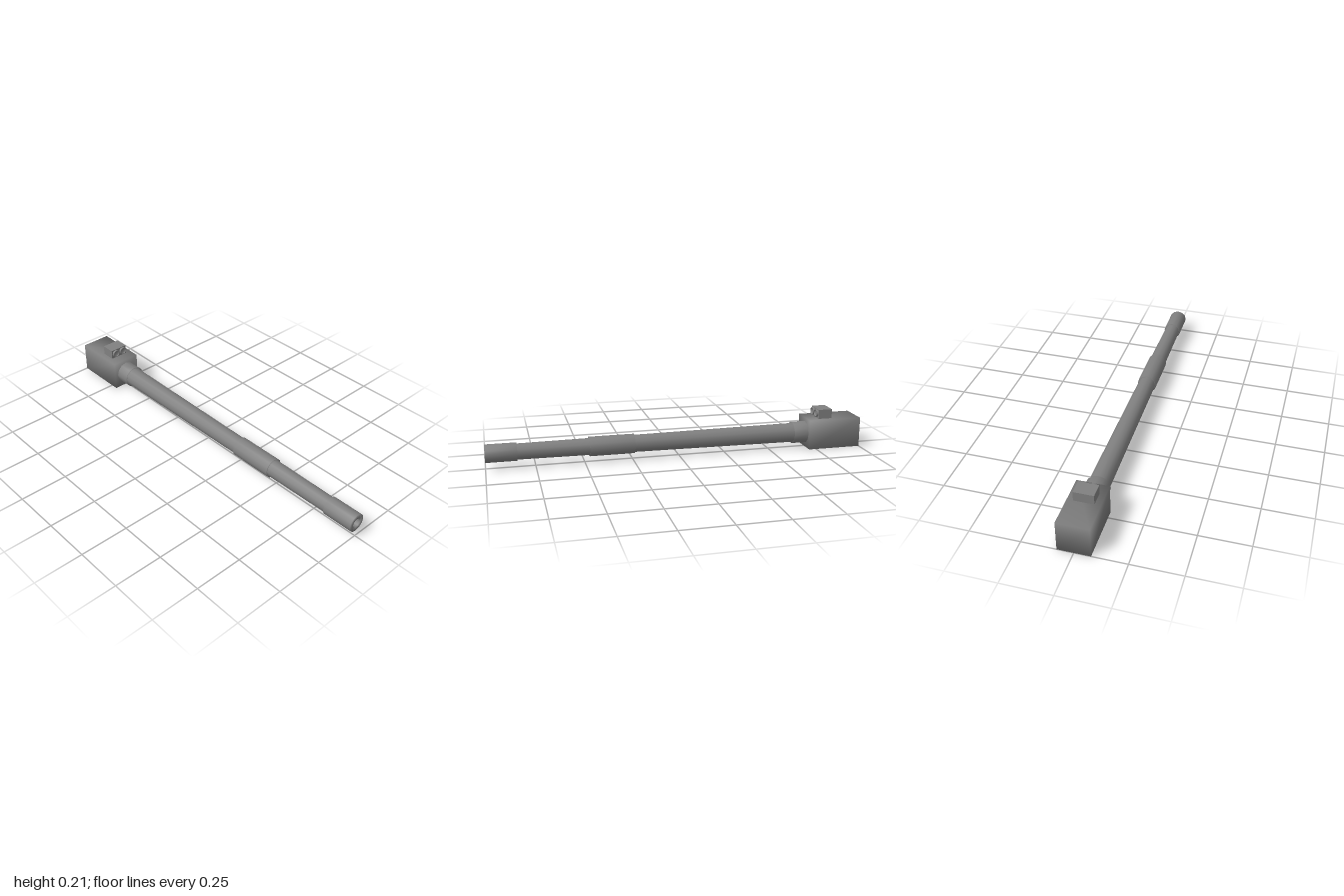
import * as THREE from 'three';
import { mergeVertices } from 'three/addons/utils/BufferGeometryUtils.js';

const AXIS_Y = 0.08;
const SIDES = 12;

export function createModel() {
  const group = new THREE.Group();
  const gunmetal = new THREE.MeshStandardMaterial({ color: 0x808080 });
  gunmetal.name = 'gunmetal grey';

  const add = (name, geometry, x = 0, y = 0, z = 0) => {
    const mesh = new THREE.Mesh(geometry, gunmetal);
    mesh.name = name;
    mesh.position.set(x, y, z);
    group.add(mesh);
  };

  // Turned part along x; profile holds [x, radius] pairs
  const turned = (name, profile, y = AXIS_Y, z = 0, sides = SIDES) => {
    const points = profile.map(([x, r]) => new THREE.Vector2(r, x));
    const geometry = new THREE.LatheGeometry(points, sides);
    geometry.rotateZ(-Math.PI / 2);
    add(name, geometry, 0, y, z);
  };

  // Breech block, with normals shared across its corners
  let block = new THREE.BoxGeometry(0.29, 0.16, 0.16);
  block.deleteAttribute('normal');
  block.deleteAttribute('uv');
  block = mergeVertices(block);
  block.computeVertexNormals();
  add('breech', block, -0.855, AXIS_Y, 0);

  // Collar and barrel sections
  turned('collar', [[-0.72, 0.06], [-0.635, 0.06], [-0.635, 0.04]]);
  turned('rearBarrel', [[-0.64, 0.053], [0.25, 0.046]]);
  turned('sleeve', [[0.24, 0.04], [0.24, 0.052], [0.475, 0.052], [0.475, 0.038]]);
  turned('frontBarrel', [[0.47, 0.045], [0.85, 0.042]]);

  // Muzzle with a blind bore
  turned('muzzle', [
    [0.84, 0.038], [0.84, 0.048], [1, 0.048], [1, 0.024], [0.9, 0.024], [0.9, 0],
  ]);

  // Sight housing with twin recessed lenses
  add('sightHousing', new THREE.BoxGeometry(0.075, 0.05, 0.1), -0.8075, 0.185, 0);
  for (const side of [1, -1]) {
    turned(side > 0 ? 'leftLens' : 'rightLens', [
      [-0.775, 0.021], [-0.76, 0.021], [-0.76, 0.017], [-0.768, 0.017], [-0.768, 0],
    ], 0.187, side * 0.024);
  }

  return group;
}
